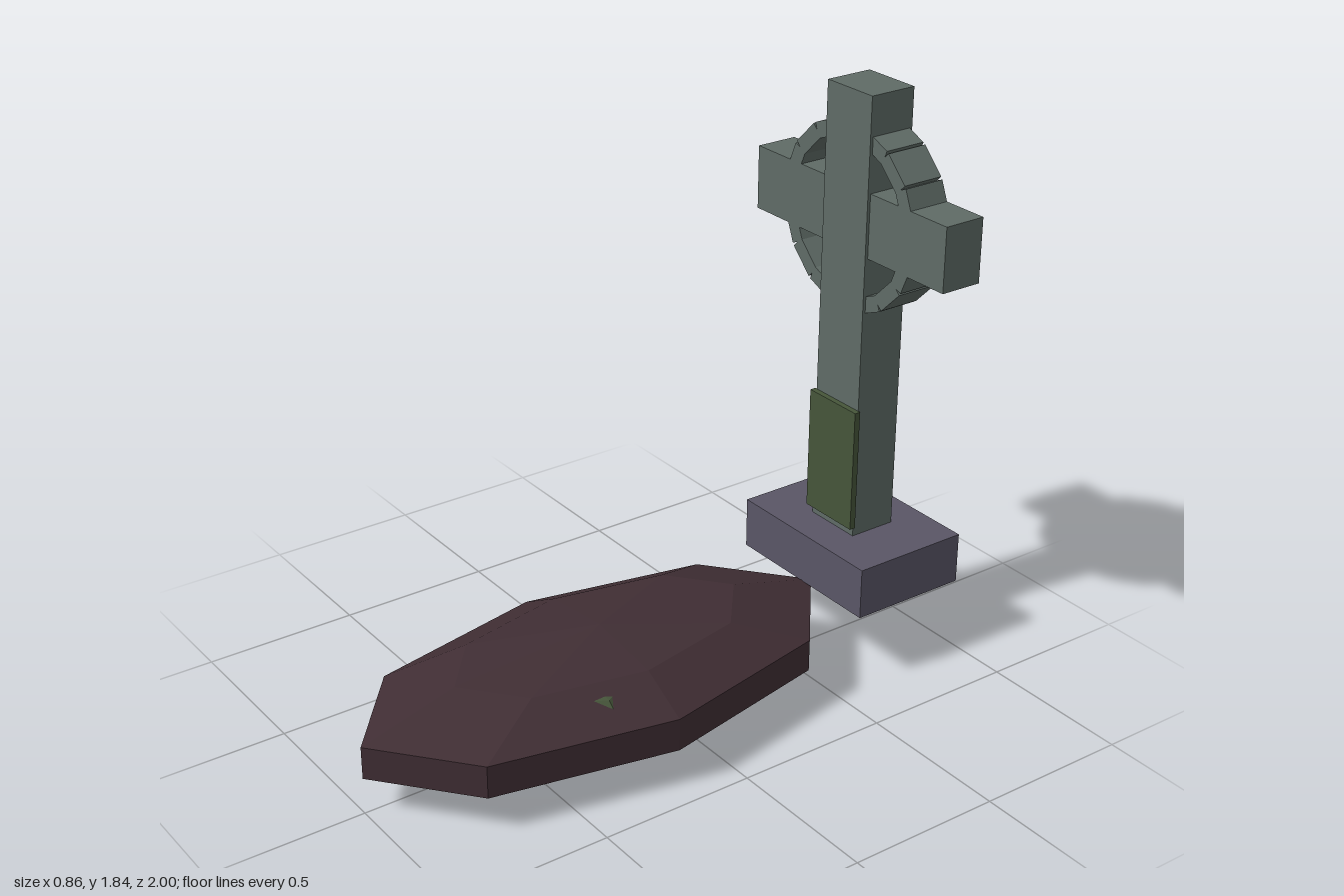
import * as THREE from 'three';

const material = (color) => new THREE.MeshStandardMaterial({ color, flatShading: true });

export function createModel() {
  const group = new THREE.Group();
  const stone = material(0x5f6b66);
  const plinthStone = material(0x5a5666);
  const moss = material(0x46553a);
  const earth = material(0x402e34);

  const add = (name, geometry, mat, x, y, z, parent = group) => {
    const mesh = new THREE.Mesh(geometry, mat);
    mesh.name = name;
    mesh.position.set(x, y, z);
    parent.add(mesh);
    return mesh;
  };
  const box = (w, h, d) => new THREE.BoxGeometry(w, h, d);

  // Grave mound: a flattened low-poly ellipsoid
  const mound = add('mound', new THREE.SphereGeometry(1, 8, 5), earth, 0, 0.173, 0.18);
  mound.scale.set(0.43, 0.172, 0.862);

  // Moss clump, mostly buried in the mound
  const clump = add('mossClump', new THREE.SphereGeometry(0.075, 6, 4), moss, 0.23, 0.265, 0.34);
  clump.scale.y = 0.38;

  // Plinth and standing cross
  const crossZ = -0.8, hubY = 1.442;
  add('plinth', box(0.575, 0.168, 0.4), plinthStone, 0, 0.319, crossZ);
  add('shaft', box(0.2, 1.445, 0.16), stone, 0, 1.1225, crossZ);
  add('crossArms', box(0.862, 0.205, 0.14), stone, 0, hubY, crossZ);
  add('mossPanel', box(0.216, 0.405, 0.02), moss, 0, 0.637, -0.711);

  // Ring of straight blocks around the crossing
  const ring = new THREE.Group();
  ring.name = 'ring';
  ring.position.set(0, hubY, crossZ);
  group.add(ring);
  const blocks = 16, radius = 0.27;
  const blockGeometry = box(0.05, 0.108, 0.14);
  for (let i = 0; i < blocks; i++) {
    const a = (i / blocks) * Math.PI * 2;
    const block = add('ringBlock', blockGeometry, stone, Math.cos(a) * radius, Math.sin(a) * radius, 0, ring);
    block.rotation.z = a;
  }

  return group;
}
